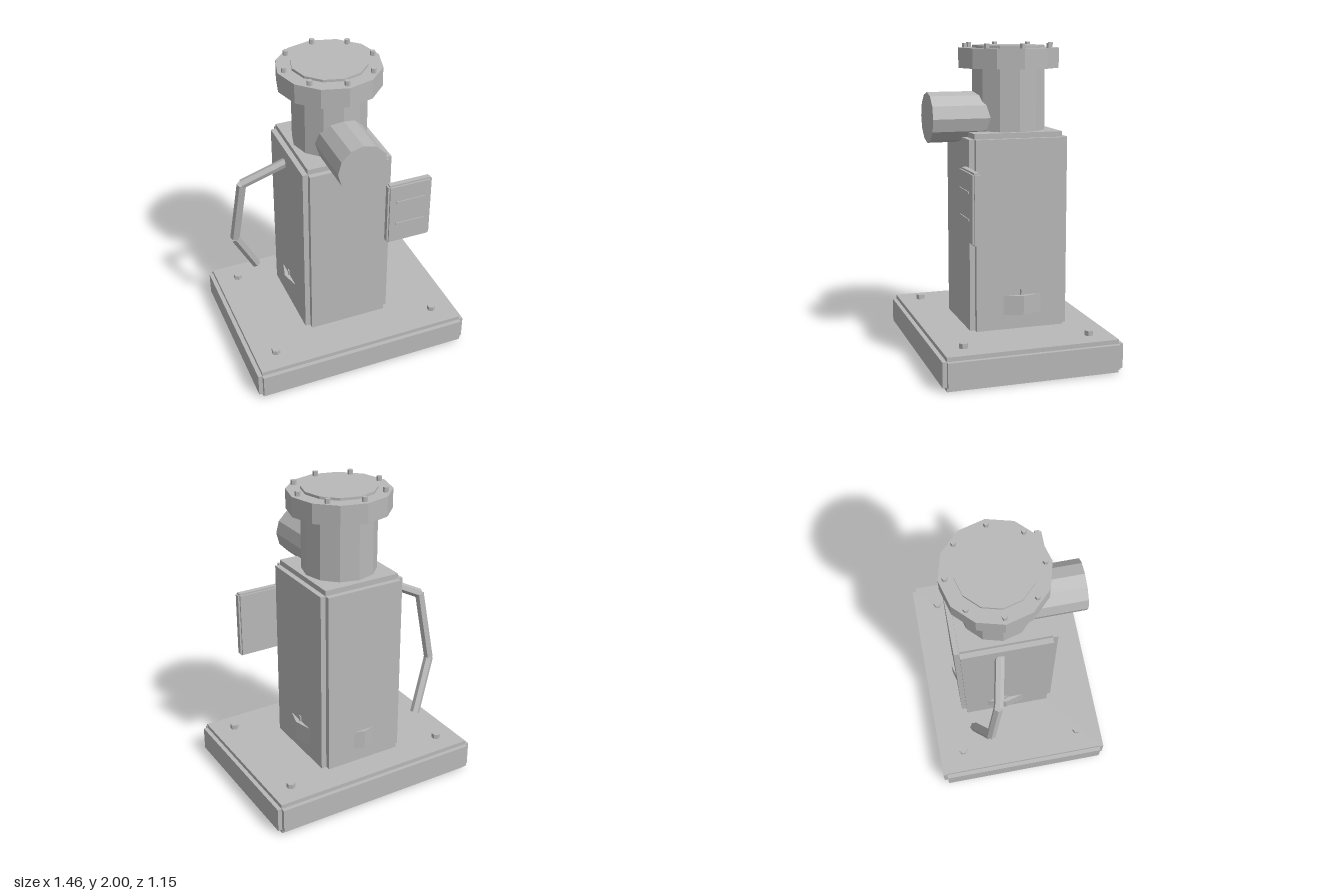
import * as THREE from 'three';

const grey = new THREE.MeshStandardMaterial({ color: 0xb8b8b8, flatShading: true });
grey.name = 'castGrey';

const AXIS_Z = -0.057; // shared centre of the neck and flanges

function add(parent, name, geometry, x = 0, y = 0, z = 0) {
  const mesh = new THREE.Mesh(geometry, grey);
  mesh.name = name;
  mesh.position.set(x, y, z);
  parent.add(mesh);
  return mesh;
}

// Block with square-notched edges: three crossed boxes, each full size on one axis
function notchedBlock(parent, name, min, max, notch) {
  const group = new THREE.Group();
  group.name = name;
  const size = max.map((v, i) => v - min[i]);
  for (let axis = 0; axis < 3; axis++) {
    const s = size.map((v, i) => (i === axis ? v : v - 2 * notch));
    add(group, name + 'Slab', new THREE.BoxGeometry(...s));
  }
  group.position.set(...max.map((v, i) => (v + min[i]) / 2));
  parent.add(group);
}

// Upright cylinder between two heights
function column(parent, name, radius, y0, y1, sides, x, z) {
  return add(parent, name, new THREE.CylinderGeometry(radius, radius, y1 - y0, sides), x, (y0 + y1) / 2, z);
}

// Twelve-sided flange with a ring of eight bolts
function flange(parent, name, y0, y1, boltTop) {
  const group = new THREE.Group();
  group.name = name;
  column(group, name + 'Disc', 0.326, y0, y1, 12, 0, AXIS_Z);
  for (let i = 0; i < 8; i++) {
    const a = (i * Math.PI) / 4;
    column(group, name + 'Bolt', 0.017, y1 - 0.02, boltTop, 6, Math.sin(a) * 0.286, AXIS_Z + Math.cos(a) * 0.286);
  }
  parent.add(group);
}

// Straight six-sided rod between two points
function rod(parent, name, a, b, radius) {
  const dir = b.clone().sub(a);
  const mid = a.clone().add(b).multiplyScalar(0.5);
  const mesh = add(parent, name, new THREE.CylinderGeometry(radius, radius, dir.length(), 6), mid.x, mid.y, mid.z);
  mesh.quaternion.setFromUnitVectors(new THREE.Vector3(0, 1, 0), dir.normalize());
}

export function createModel() {
  const model = new THREE.Group();
  model.name = 'pumpStation';

  // Base plate with four anchor bolts
  notchedBlock(model, 'basePlate', [-0.73, 0, -0.573], [0.73, 0.211, 0.573], 0.027);
  for (const x of [-0.56, 0.56]) {
    for (const z of [-0.405, 0.405]) column(model, 'anchorBolt', 0.028, 0.2, 0.242, 6, x, z);
  }

  // Main housing
  notchedBlock(model, 'housing', [-0.293, 0.15, -0.364], [0.293, 1.455, 0.277], 0.034);

  // Neck, bolted flanges (the lower one is mostly inside the housing) and lid
  column(model, 'neck', 0.237, 1.43, 1.86, 12, 0, AXIS_Z);
  flange(model, 'lowerFlange', 0.305, 0.428, 0.465);
  flange(model, 'upperFlange', 1.845, 1.97, 2.0);
  column(model, 'lid', 0.236, 1.95, 1.986, 12, 0, AXIS_Z);

  // Outlet pipe facing forward
  const outlet = add(model, 'outletPipe', new THREE.CylinderGeometry(0.159, 0.159, 0.53, 12), 0, 1.54, 0.21);
  outlet.rotation.x = Math.PI / 2;

  // Control box with two thin bars in front of it
  notchedBlock(model, 'controlBox', [0.24, 0.818, 0.281], [0.54, 1.257, 0.336], 0.011);
  for (const y of [0.97, 1.135]) {
    add(model, 'controlBar', new THREE.BoxGeometry(0.196, 0.013, 0.006), 0.389, y, 0.347);
  }

  // Bent conduit on the right side
  const path = [[-0.2, 1.357, -0.07], [-0.562, 1.182, -0.148], [-0.613, 0.725, -0.21], [-0.45, 0.39, -0.302]]
    .map((p) => new THREE.Vector3(...p));
  for (let i = 0; i < 3; i++) rod(model, 'conduitSegment', path[i], path[i + 1], 0.031);

  return model;
}
